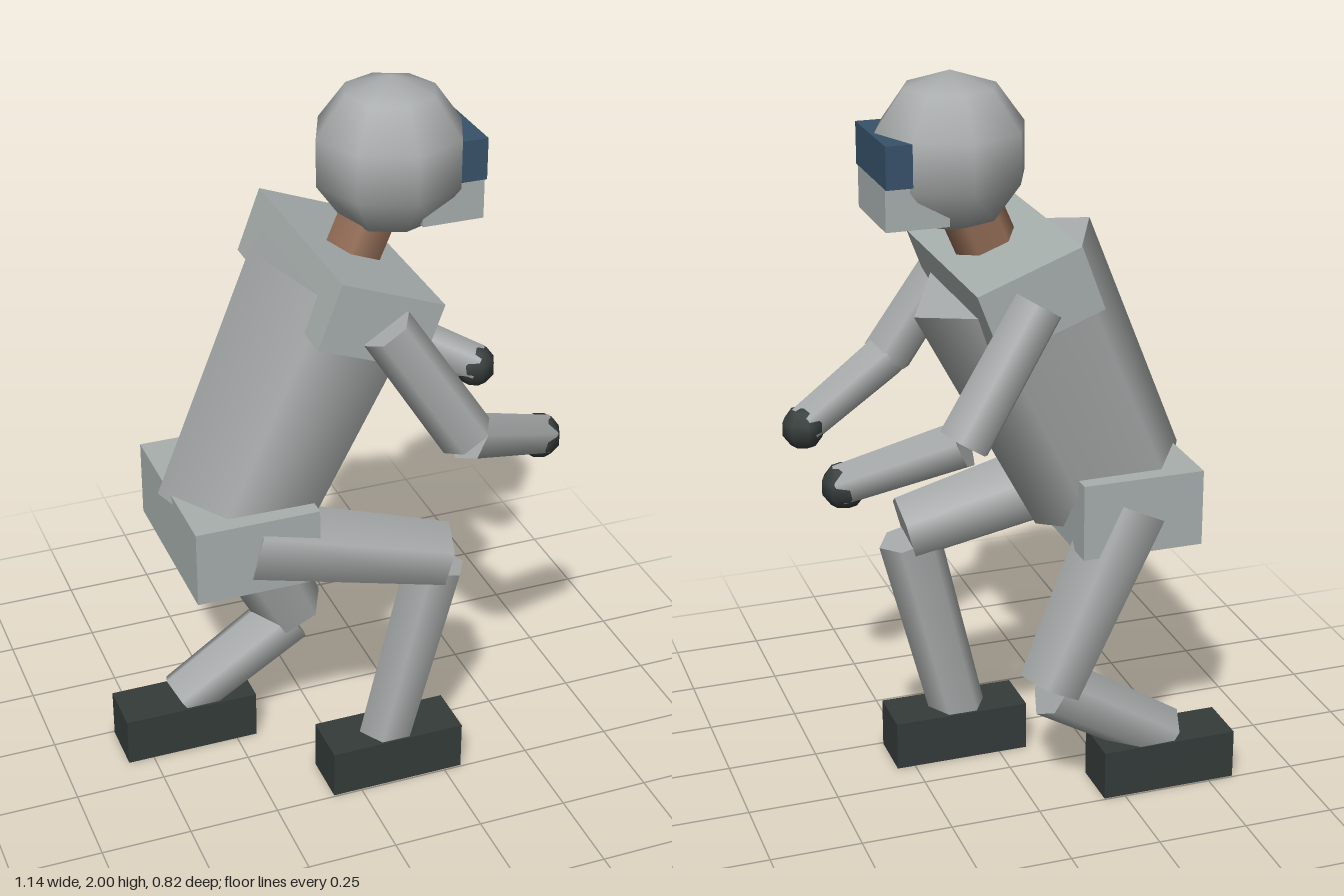
import * as THREE from 'three';

const mat = (name, color) => {
  const m = new THREE.MeshStandardMaterial({ color });
  m.name = name;
  return m;
};

export function createModel() {
  const suit = mat('suit grey', 0xa9acac);
  const plate = mat('plate grey', 0xa8b0ae);
  const dark = mat('dark rubber', 0x343c3a);
  const glass = mat('visor blue', 0x38526a);
  const skin = mat('skin brown', 0x966f58);

  const model = new THREE.Group();
  model.name = 'crouchingFigure';

  const add = (name, geometry, material, pos) => {
    const mesh = new THREE.Mesh(geometry, material);
    mesh.name = name;
    mesh.position.set(...pos);
    model.add(mesh);
    return mesh;
  };
  const box = (name, size, pos, material) => add(name, new THREE.BoxGeometry(...size), material, pos);

  // Tapered six-sided limb from a to b, with a corner edge in the x-y plane
  const limb = (name, a, b, ra, rb, material = suit) => {
    const from = new THREE.Vector3(...a), to = new THREE.Vector3(...b);
    const y = to.clone().sub(from);
    const length = y.length();
    y.normalize();
    const z = y.clone().cross(new THREE.Vector3(0, 0, 1)).normalize();
    const x = y.clone().cross(z);
    const centre = from.add(to).multiplyScalar(0.5);
    const mesh = add(name, new THREE.CylinderGeometry(rb, ra, length, 6), material, centre.toArray());
    mesh.quaternion.setFromRotationMatrix(new THREE.Matrix4().makeBasis(x, y, z));
  };

  // Body, leaning forward along +x
  box('pelvis', [0.335, 0.21, 0.49], [-0.288, 0.835, 0], plate);
  limb('torso', [-0.277, 0.836, 0], [0.021, 1.476, 0], 0.225, 0.263);
  box('shoulderYoke', [0.29, 0.179, 0.61], [0.02, 1.473, 0], plate).rotation.z = -0.36;
  limb('neck', [0.045, 1.5, 0], [0.12, 1.675, 0], 0.083, 0.083, skin);

  // Helmet with visor and chin guard
  add('helmet', new THREE.SphereGeometry(0.206, 8, 5), suit, [0.157, 1.794, 0]);
  box('visor', [0.13, 0.11, 0.275], [0.3, 1.8, 0], glass);
  box('chinGuard', [0.165, 0.11, 0.25], [0.282, 1.69, 0], plate);

  // Arms, mirrored across z
  for (const [side, s] of [['right', 1], ['left', -1]]) {
    const elbow = [0.238, 1.146, 0.345 * s], wrist = [0.515, 1.02, 0.208 * s];
    limb(side + 'UpperArm', [0.03, 1.471, 0.31 * s], elbow, 0.069, 0.073);
    limb(side + 'Forearm', elbow, wrist, 0.067, 0.058);
    add(side + 'Hand', new THREE.SphereGeometry(0.06, 8, 5), dark, [0.51, 1.018, 0.21 * s]);
  }

  // Legs: one stepping forward, one behind
  const legs = [
    { side: 'front', s: 1, knee: [0.243, 0.693], shinTop: [0.232, 0.668], ankle: [0.1, 0.12], foot: 0.11 },
    { side: 'rear', s: -1, knee: [-0.053, 0.35], shinTop: [-0.06, 0.335], ankle: [-0.39, 0.13], foot: -0.382 },
  ];
  for (const { side, s, knee, shinTop, ankle, foot } of legs) {
    limb(side + 'Thigh', [-0.286, 0.835, 0.15 * s], [...knee, 0.187 * s], 0.12, 0.098);
    limb(side + 'Shin', [...shinTop, 0.18 * s], [...ankle, 0.17 * s], 0.087, 0.079);
    box(side + 'Boot', [0.382, 0.14, 0.15], [foot, 0.07, 0.17 * s], dark);
  }

  return model;
}
